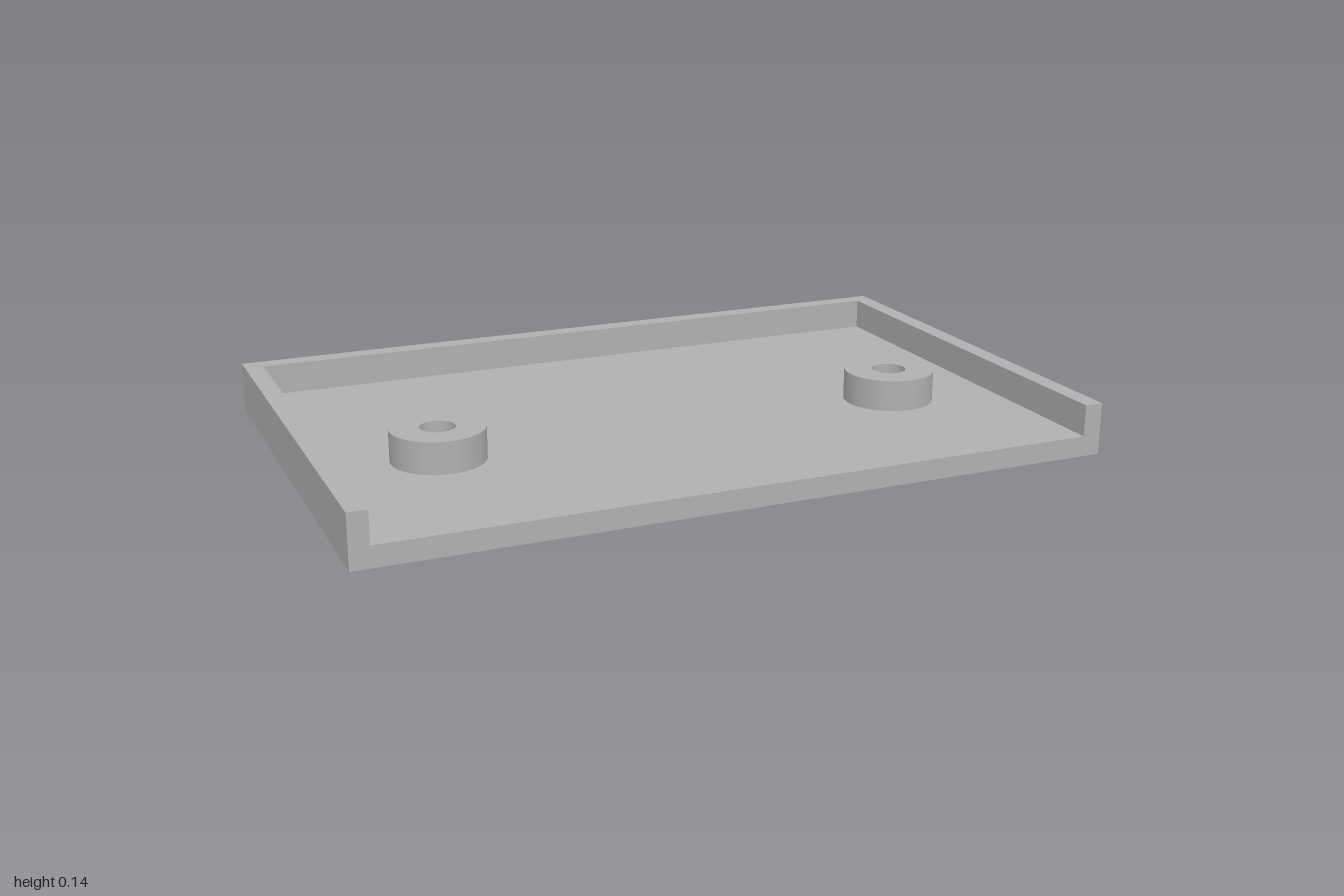
import * as THREE from 'three';
import { toCreasedNormals } from 'three/addons/utils/BufferGeometryUtils.js';

const W = 1, D = 0.625, H = 0.14;      // half width, half depth, height
const FLOOR = 0.055, WALL = 0.05;      // thicknesses
const BOSS_X = 0.65, BOSS_Z = 0.13, BOSS_R = 0.123;
const HOLE_R = 0.046, BORE_R = 0.083, BORE_TOP = 0.075;

// Plan outline, given as [x, z] points, raised to a slab between two heights
function slab(points, y0, y1, holes = []) {
  const shape = new THREE.Shape(points.map(([x, z]) => new THREE.Vector2(x, -z)));
  for (const [x, z, r] of holes) {
    shape.holes.push(new THREE.Path().absarc(x, -z, r, 0, Math.PI * 2, true));
  }
  const geometry = new THREE.ExtrudeGeometry(shape, { depth: y1 - y0, bevelEnabled: false, curveSegments: 48 });
  geometry.rotateX(-Math.PI / 2).translate(0, y0, 0);
  return toCreasedNormals(geometry, 0.6);
}

export function createModel() {
  const group = new THREE.Group();
  group.name = 'mountingTray';
  const grey = new THREE.MeshStandardMaterial({ color: 0xb0b0b0 });
  grey.name = 'grey';

  const add = (name, geometry) => {
    const mesh = new THREE.Mesh(geometry, grey);
    mesh.name = name;
    group.add(mesh);
    return mesh;
  };

  // Floor plate with the counterbores opening underneath
  add('floor', slab(
    [[-W, D], [W, D], [W, -D], [-W, -D]], 0, FLOOR,
    [-1, 1].map((s) => [s * BOSS_X, BOSS_Z, BORE_R]),
  ));

  // Rim on the back and both sides, open at the front
  const w = W - WALL, d = D - WALL;
  add('rim', slab(
    [[-W, D], [-w, D], [-w, -d], [w, -d], [w, D], [W, D], [W, -D], [-W, -D]], FLOOR, H,
  ));

  // Screw bosses: outer wall, top ring, screw hole, counterbore ceiling and wall
  const profile = [
    [BOSS_R, FLOOR], [BOSS_R, H], [HOLE_R, H],
    [HOLE_R, BORE_TOP], [BORE_R, BORE_TOP], [BORE_R, FLOOR],
  ].map(([r, y]) => new THREE.Vector2(r, y));
  const bossGeometry = toCreasedNormals(new THREE.LatheGeometry(profile, 96), 0.6);
  for (const side of [-1, 1]) {
    add(side > 0 ? 'leftBoss' : 'rightBoss', bossGeometry).position.set(side * BOSS_X, 0, BOSS_Z);
  }

  return group;
}
